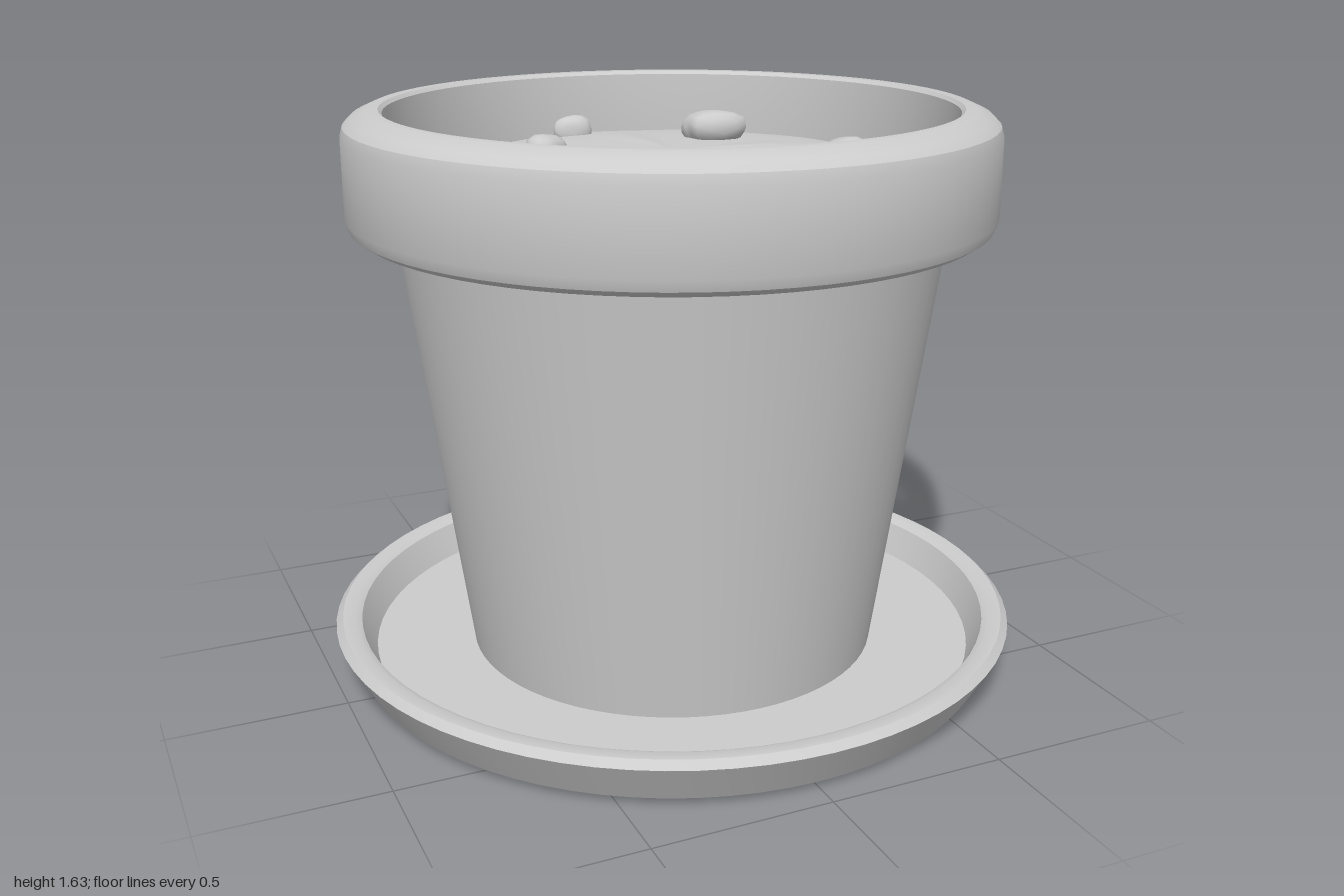
import * as THREE from 'three';
import { mergeVertices, toCreasedNormals } from 'three/addons/utils/BufferGeometryUtils.js';

const clayGrey = new THREE.MeshStandardMaterial({ color: 0xcccccc });
clayGrey.name = 'clayGrey';

function addMesh(group, name, geometry) {
  const mesh = new THREE.Mesh(geometry, clayGrey);
  mesh.name = name;
  group.add(mesh);
  return mesh;
}

// Turned part from [radius, height] pairs, with sharp edges kept
function turned(profile, crease = 0.6) {
  const points = profile.map(([r, y]) => new THREE.Vector2(r, y));
  return toCreasedNormals(new THREE.LatheGeometry(points, 72), crease);
}

// Domed soil with faint ripples running out from the middle
function soilGeometry() {
  const profile = [[0.775, 1.33], [0.765, 1.375], [0.73, 1.42], [0.66, 1.452], [0.55, 1.476], [0.42, 1.49], [0.28, 1.497], [0.14, 1.5], [0, 1.5]];
  let geo = new THREE.LatheGeometry(profile.map(([r, y]) => new THREE.Vector2(r, y)), 72);
  const pos = geo.attributes.position;
  for (let i = 0; i < pos.count; i++) {
    const x = pos.getX(i), z = pos.getZ(i);
    const r = Math.hypot(x, z), a = Math.atan2(z, x);
    const fade = Math.min(r / 0.25, 1) * Math.max(0, 1 - r / 0.75);
    const ripple = Math.sin(3 * a + 1) + 0.7 * Math.sin(7 * a + 4 * r) + 0.4 * Math.sin(11 * a);
    pos.setY(i, pos.getY(i) + 0.006 * fade * ripple);
  }
  return toCreasedNormals(geo, 1.2);
}

// Lumpy rounded stone of unit size
function stoneGeometry(seed) {
  let geo = new THREE.IcosahedronGeometry(1, 2);
  geo.deleteAttribute('normal');
  geo.deleteAttribute('uv');
  geo = mergeVertices(geo);
  const pos = geo.attributes.position, v = new THREE.Vector3();
  for (let i = 0; i < pos.count; i++) {
    v.fromBufferAttribute(pos, i);
    // Slightly boxy, then bumped
    const boxy = Math.pow(v.x ** 4 + v.y ** 4 + v.z ** 4, -0.25);
    const bump = 0.12 * Math.sin(2.3 * v.x + seed) + 0.1 * Math.sin(3.1 * v.z + 2 * seed + v.y);
    v.multiplyScalar(0.5 + 0.45 * boxy + bump);
    pos.setXYZ(i, v.x, v.y, v.z);
  }
  geo.computeVertexNormals();
  return geo;
}

export function createModel() {
  const model = new THREE.Group();
  model.name = 'flowerpot';

  // Saucer
  addMesh(model, 'saucer', turned([
    [0, 0], [0.8, 0], [0.93, 0.02], [1, 0.14], [0.98, 0.16], [0.945, 0.16],
    [0.925, 0.15], [0.885, 0.06], [0, 0.06],
  ], 0.5));

  // Tapered pot body
  addMesh(model, 'potBody', turned([[0, 0.05], [0.595, 0.05], [0.775, 1.33], [0.74, 1.33]]));

  // Thick rounded collar, open slightly below around the body
  addMesh(model, 'potRim', turned([
    [0.8, 1.285], [0.8, 1.28], [0.87, 1.298], [0.895, 1.315], [0.905, 1.345], [0.905, 1.56],
    [0.897, 1.588], [0.875, 1.61], [0.83, 1.63], [0.8, 1.63], [0.79, 1.62],
    [0.785, 1.43], [0.8, 1.285],
  ], 0.5));

  addMesh(model, 'soil', soilGeometry());

  // Stones: x, y, z, half width, half height, half depth, turn
  const stones = [
    [-0.14, 1.505, -0.43, 0.058, 0.04, 0.036, -0.1],
    [0.23, 1.525, -0.19, 0.108, 0.05, 0.062, -0.1],
    [-0.33, 1.505, -0.1, 0.062, 0.046, 0.055, 0.5],
    [0.42, 1.505, 0.23, 0.054, 0.042, 0.056, 0.2],
    [0, 1.495, 0.37, 0.088, 0.05, 0.055, 0],
    [0.765, 0.095, -0.405, 0.045, 0.042, 0.045, 0.6],
  ];
  stones.forEach(([x, y, z, w, h, d, turn], i) => {
    const stone = addMesh(model, i < 5 ? 'soilStone' : 'saucerStone', stoneGeometry(i * 1.7 + 0.4));
    stone.position.set(x, y, z);
    stone.scale.set(w, h, d);
    stone.rotation.y = turn;
  });

  return model;
}
